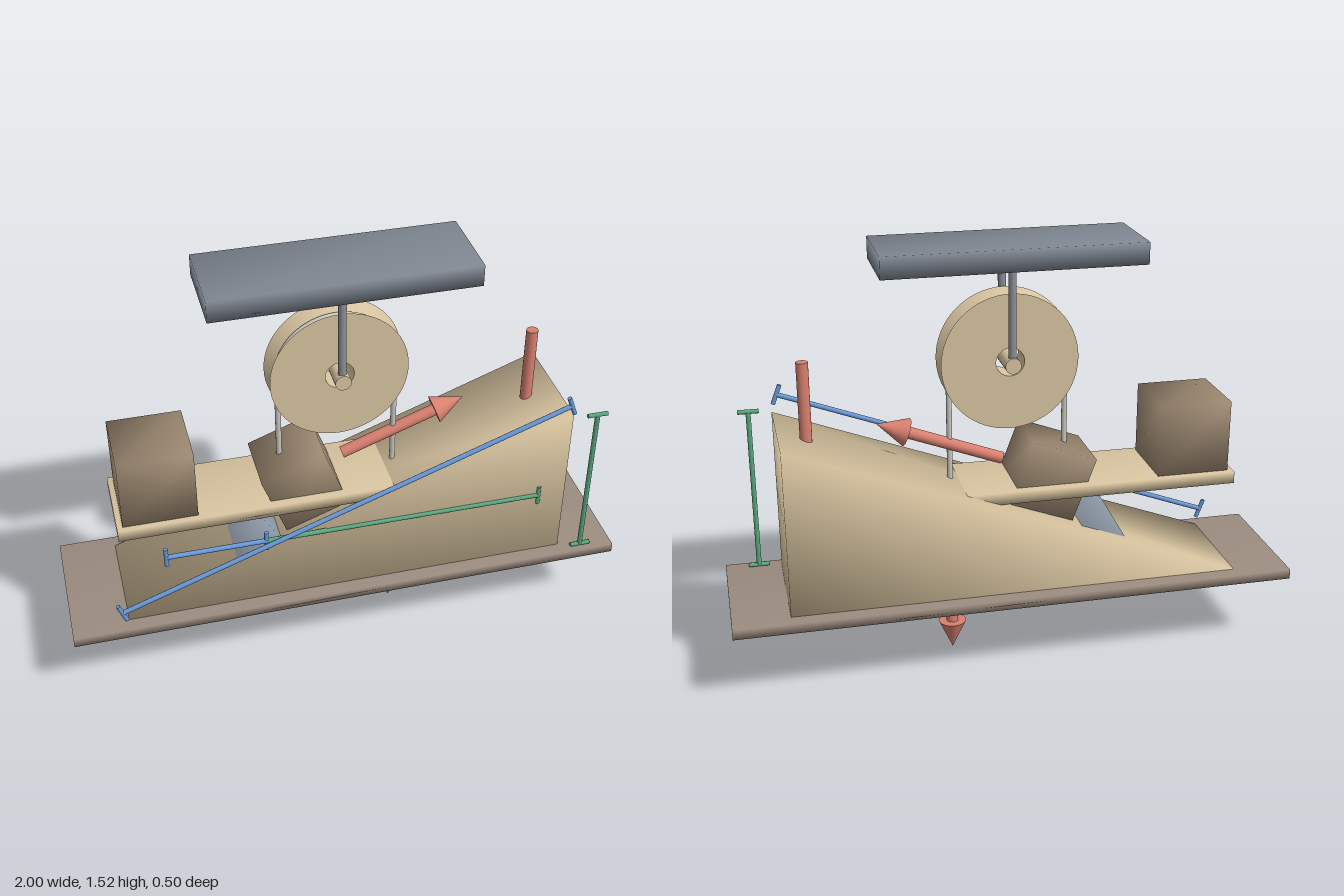
import * as THREE from 'three';
import { mergeVertices } from 'three/addons/utils/BufferGeometryUtils.js';

const paint = (hex) => new THREE.MeshStandardMaterial({ color: hex });
const MAT = {
  wood: paint(0xd8c4a0), board: paint(0x9c8c80), weight: paint(0xa08c74), steel: paint(0x7d8590),
  hanger: paint(0x8a9098), fulcrum: paint(0x98a4b4), rope: paint(0xccc8c0),
  force: paint(0xd98070), blue: paint(0x6a9ad8), green: paint(0x5aa880),
};
const SLOPE = Math.atan2(0.6, 1.6);
const V = (x, y, z = 0) => new THREE.Vector3(x, y, z);

// share corner vertices so that shading runs smoothly over the edges
function soften(geometry) {
  geometry.deleteAttribute('uv');
  geometry.deleteAttribute('normal');
  const merged = mergeVertices(geometry, 1e-4);
  merged.computeVertexNormals();
  return merged;
}

function add(parent, name, geometry, material, x = 0, y = 0, z = 0) {
  const mesh = new THREE.Mesh(geometry, material);
  mesh.name = name;
  mesh.position.set(x, y, z);
  parent.add(mesh);
  return mesh;
}

const box = (w, h, d) => soften(new THREE.BoxGeometry(w, h, d));

// prism from an outline in the xy plane, centred on z = 0
function prism(points, depth) {
  const shape = new THREE.Shape(points.map(([x, y]) => new THREE.Vector2(x, y)));
  const geometry = new THREE.ExtrudeGeometry(shape, { depth, bevelEnabled: false });
  return soften(geometry.translate(0, 0, -depth / 2));
}

// round rod between two points
function rod(parent, name, a, b, radius, material, sides = 16) {
  const dir = b.clone().sub(a);
  const mesh = add(parent, name, new THREE.CylinderGeometry(radius, radius, dir.length(), sides), material);
  mesh.position.copy(a).add(b).multiplyScalar(0.5);
  mesh.quaternion.setFromUnitVectors(V(0, 1), dir.normalize());
  return mesh;
}

// force arrow: shaft and cone head
function arrow(parent, name, from, to) {
  const group = new THREE.Group();
  group.name = name;
  const dir = to.clone().sub(from).normalize();
  const neck = to.clone().addScaledVector(dir, -0.11);
  rod(group, 'arrowShaft', from, neck, 0.021, MAT.force, 20);
  const head = add(group, 'arrowHead', new THREE.ConeGeometry(0.05, 0.11, 24), MAT.force);
  head.position.copy(to).addScaledVector(dir, -0.055);
  head.quaternion.setFromUnitVectors(V(0, 1), dir);
  parent.add(group);
}

// dimension line with a cross tick at each end
function dimension(parent, name, a, b, material) {
  const group = new THREE.Group();
  group.name = name;
  const dir = b.clone().sub(a).normalize();
  const side = V(-dir.y, dir.x).multiplyScalar(0.037);
  rod(group, 'dimensionBar', a, b, 0.009, material, 10);
  for (const end of [a, b]) {
    rod(group, 'dimensionTick', end.clone().sub(side), end.clone().add(side), 0.008, material, 10);
  }
  parent.add(group);
}

export function createModel() {
  const model = new THREE.Group();
  model.name = 'simpleMachines';

  // base board and inclined plane
  add(model, 'baseBoard', box(2, 0.036, 0.5), MAT.board, 0, 0.282, 0);
  add(model, 'inclinedPlane', prism([[-0.8, 0.3], [0.8, 0.3], [0.8, 0.9]], 0.4), MAT.wood);

  // block resting on the slope
  const block = add(model, 'slopeBlock', box(0.24, 0.24, 0.24), MAT.weight, -0.14, 0.675, 0);
  block.rotation.z = SLOPE;

  // lever with its fulcrum and load
  add(model, 'leverBeam', box(1.6, 0.044, 0.3), MAT.wood, 0, 0.643, 0);
  add(model, 'fulcrum', prism([[-0.485, 0.3], [-0.115, 0.3], [-0.3, 0.62]], 0.3), MAT.fulcrum);
  add(model, 'leverLoad', box(0.26, 0.26, 0.26), MAT.weight, -0.65, 0.795, 0);

  // ceiling plate with hanger rods
  const pulley = new THREE.Group();
  pulley.name = 'pulley';
  model.add(pulley);
  add(pulley, 'ceilingPlate', box(0.9, 0.076, 0.3), MAT.steel, 0, 1.48, 0);
  for (const z of [-0.08, 0.08]) rod(pulley, 'hangerRod', V(0, 1.104, z), V(0, 1.45, z), 0.014, MAT.hanger);

  // grooved wheel with a bore, turning on the axle
  const rim = [[0.05, -0.05], [0.24, -0.05], [0.19, 0], [0.24, 0.05], [0.05, 0.05], [0.05, -0.05]];
  // doubled corners keep the profile edges sharp
  const profile = rim.flatMap(([r, h]) => [new THREE.Vector2(r, h), new THREE.Vector2(r, h)]).slice(1, -1);
  for (let i = 0; i < profile.length; i += 2) {
    const segment = new THREE.LatheGeometry([profile[i], profile[i + 1]], 64);
    add(pulley, 'pulleyWheel', segment, MAT.wood, 0, 1.104, 0).rotation.x = Math.PI / 2;
  }
  rod(pulley, 'axle', V(0, 1.104, -0.1), V(0, 1.104, 0.1), 0.028, MAT.wood, 24);

  // rope over the wheel: two straight falls and a half circle
  const R = 0.206;
  const arc = [];
  for (let i = 0; i <= 32; i++) {
    const t = Math.PI * (1 - i / 32);
    arc.push(V(R * Math.cos(t), 1.104 + R * Math.sin(t)));
  }
  add(pulley, 'ropeOverWheel', new THREE.TubeGeometry(new THREE.CatmullRomCurve3(arc), 48, 0.01, 10), MAT.rope);
  rod(pulley, 'loadRope', V(-R, 0.49), V(-R, 1.104), 0.01, MAT.rope, 10);
  rod(pulley, 'pullRope', V(R, 0.47), V(R, 1.104), 0.01, MAT.rope, 10);
  add(pulley, 'hangingLoad', box(0.26, 0.26, 0.26), MAT.weight, -R, 0.364, 0);

  // force arrows
  arrow(model, 'slopeForceArrow', V(0.02, 0.735), V(0.46, 0.9));
  arrow(model, 'leverForceArrow', V(0.7, 1.14), V(0.7, 0.665));
  arrow(model, 'ropeForceArrow', V(R, 0.475), V(R, 0));

  // dimension lines
  dimension(model, 'slopeLength', V(-0.821, 0.356, 0.22), V(0.779, 0.956, 0.22), MAT.blue);
  dimension(model, 'slopeHeight', V(0.88, 0.305, 0.22), V(0.88, 0.9, 0.22), MAT.green);
  dimension(model, 'loadArm', V(-0.65, 0.56, 0.2), V(-0.3, 0.56, 0.2), MAT.blue);
  dimension(model, 'effortArm', V(-0.3, 0.56, 0.2), V(0.7, 0.56, 0.2), MAT.green);

  return model;
}
